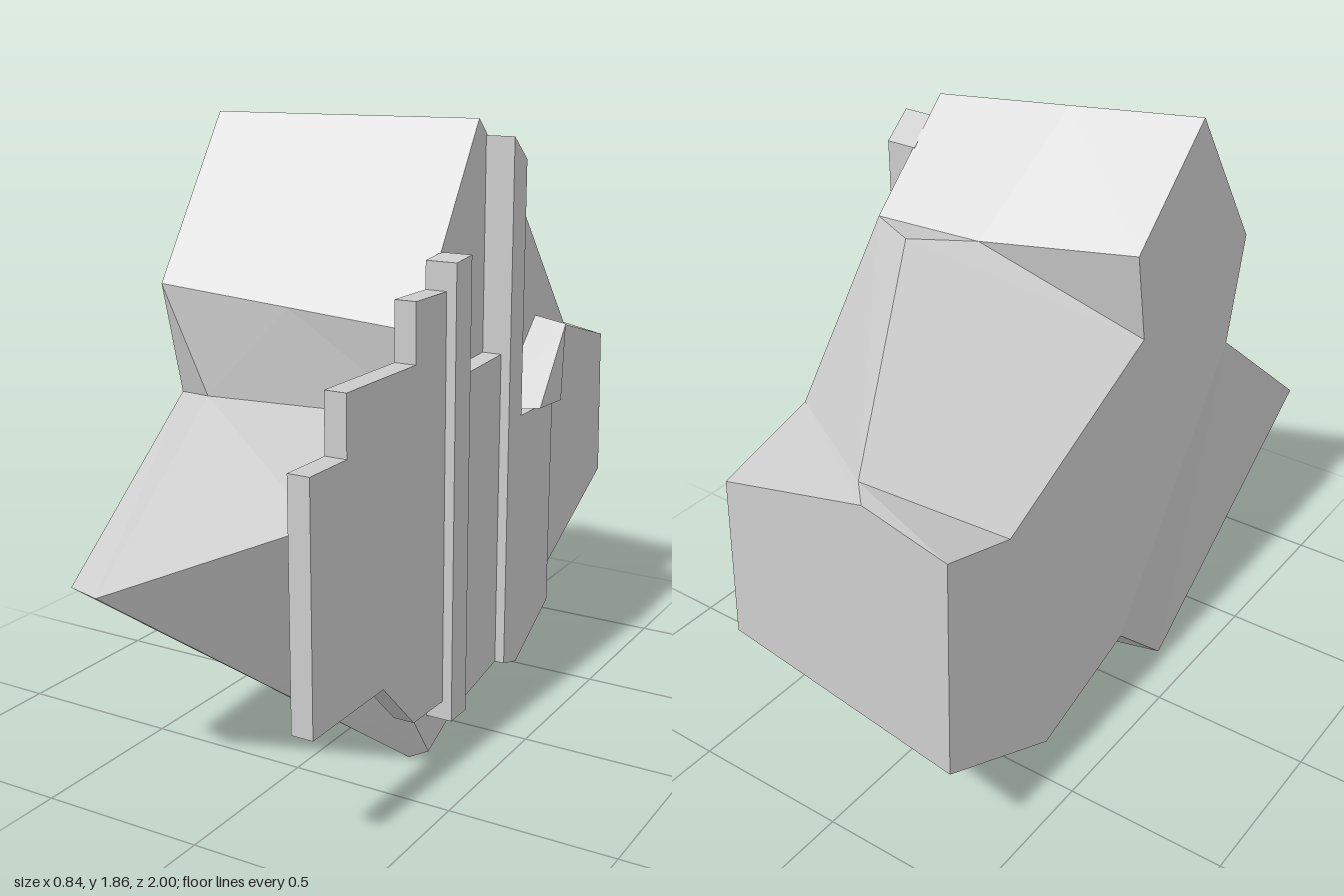
import * as THREE from 'three';
import { ConvexGeometry } from 'three/addons/geometries/ConvexGeometry.js';

const material = new THREE.MeshStandardMaterial({ color: 0xcccccc, flatShading: true });
const V = (x, y, z) => new THREE.Vector3(x, y, z);

function part(name, geometry) {
  const mesh = new THREE.Mesh(geometry, material);
  mesh.name = name;
  return mesh;
}

// Slab with a [z, y] outline, reaching from x0 to x1
function slab(name, outline, x0, x1) {
  const shape = new THREE.Shape(outline.map(([z, y]) => new THREE.Vector2(-z, y)));
  const geometry = new THREE.ExtrudeGeometry(shape, { depth: x1 - x0, bevelEnabled: false });
  geometry.rotateY(Math.PI / 2).translate(x0, 0, 0);
  return part(name, geometry);
}

// Faceted block: three matching loops running top, front, bottom, back
function blockGeometry() {
  const left = [
    V(-0.42, 1.86, 0.22), V(-0.42, 1.40, 0.52), V(-0.42, 1.07, 0.44), V(-0.41, 0.64, 0.97),
    V(-0.41, 0.05, 0.14), V(-0.42, 0.295, -0.12), V(-0.42, 0.17, -0.52), V(-0.42, 0.40, -0.97),
    V(-0.42, 1.08, -0.95), V(-0.42, 1.00, -0.69), V(-0.42, 1.30, -0.055), V(-0.42, 1.57, -0.10),
  ];
  const right = [
    V(0.30, 1.85, -0.02), V(0.30, 1.30, 0.33), V(0.30, 1.05, 0.30), V(0.30, 0.90, 0.85),
    V(0.31, 0.03, 0.27), V(0.30, 0.30, -0.38), V(0.30, 0.285, -0.45), V(0.30, 0.57, -1.00),
    V(0.30, 1.06, -0.98), V(0.30, 1.15, -0.66), V(0.30, 1.58, -0.31), V(0.30, 1.58, -0.31),
  ];
  // Middle loop: halfway points, except where the block has its own corners
  const corners = {
    2: V(-0.30, 1.08, 0.48), 3: V(-0.30, 0.64, 1.00), 4: V(0.25, 0.00, 0.28),
    8: V(-0.16, 1.155, -0.96), 9: V(-0.10, 1.17, -0.90),
    10: V(0.13, 1.59, -0.40), 11: V(0, 1.56, -0.25),
  };
  const middle = left.map((p, i) => corners[i] ?? p.clone().lerp(right[i], 0.5));

  const points = [];
  const n = left.length;
  for (const [a, b] of [[left, middle], [middle, right]]) {
    for (let i = 0; i < n; i++) {
      const j = (i + 1) % n;
      points.push(a[i], a[j], b[j], a[i], b[j], b[i]);
    }
  }
  // End caps, each triangle turned to face outwards
  for (const [loop, side] of [[left, -1], [right.slice(0, n - 1), 1]]) {
    const outline = loop.map((p) => new THREE.Vector2(-p.z, p.y));
    for (const [i, j, k] of THREE.ShapeUtils.triangulateShape(outline, [])) {
      const turn = THREE.ShapeUtils.area([outline[i], outline[j], outline[k]]);
      if (turn * side > 0) points.push(loop[i], loop[j], loop[k]);
      else points.push(loop[i], loop[k], loop[j]);
    }
  }
  const geometry = new THREE.BufferGeometry().setFromPoints(points);
  geometry.computeVertexNormals();
  return geometry;
}

export function createModel() {
  const model = new THREE.Group();
  model.name = 'facetedBlock';

  model.add(part('block', blockGeometry()));

  // Stepped plate on the side
  model.add(slab('steppedPlate', [
    [0.97, 0.38], [0.62, 0.38], [0.45, 0.21], [0.24, 0.205], [0.19, 0.155], [-0.065, 0.20],
    [-0.065, 1.17], [0.19, 1.155], [0.24, 1.41], [0.45, 1.41], [0.45, 1.24],
    [0.80, 1.24], [0.80, 1.07], [0.97, 1.07],
  ], 0.295, 0.36));

  // Raised upright bars
  model.add(slab('frontBar', [
    [0.28, 0.15], [0.19, 0.15], [0.19, 1.50], [0.28, 1.49],
  ], 0.295, 0.39));
  model.add(slab('rearBar', [
    [-0.065, 0.20], [-0.15, 0.175], [-0.375, 0.305], [-0.375, 0.97],
    [-0.15, 0.97], [-0.15, 1.73], [-0.065, 1.80],
  ], 0.295, 0.39));

  // Small wedge above the rear bar's ledge
  model.add(part('wedge', new ConvexGeometry([
    V(0.295, 0.97, -0.16), V(0.295, 1.22, -0.43), V(0.295, 0.97, -0.42),
    V(0.42, 0.98, -0.22), V(0.40, 1.20, -0.44), V(0.40, 0.96, -0.42),
  ])));

  return model;
}
